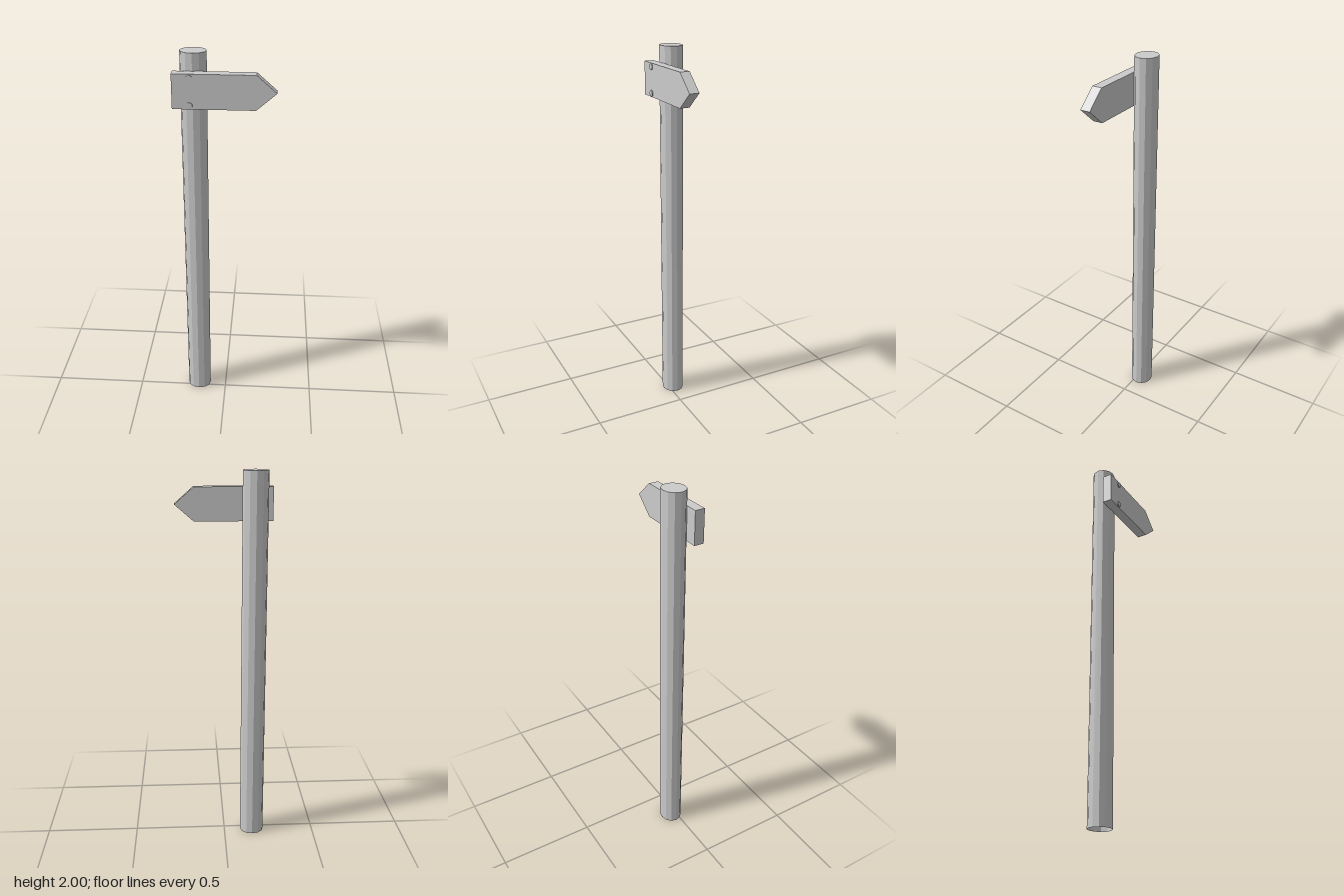
import * as THREE from 'three';

export function createModel() {
  const group = new THREE.Group();
  group.name = 'signpost';
  const mat = new THREE.MeshStandardMaterial({ color: 0xcccccc, flatShading: true });
  const openMat = new THREE.MeshStandardMaterial({ color: 0xcccccc, flatShading: true, side: THREE.DoubleSide });

  const add = (name, geometry, material, x, y, z) => {
    const mesh = new THREE.Mesh(geometry, material);
    mesh.name = name;
    mesh.position.set(x, y, z);
    group.add(mesh);
    return mesh;
  };

  // Twelve-sided, slightly flattened post: capped on top, open at the foot
  const post = [-0.155, -0.027], rx = 0.065, rz = 0.0585;
  add('post', new THREE.CylinderGeometry(1, 1, 2, 12, 1, true).scale(rx, 1, rz), openMat, post[0], 1, post[1]);
  add('postTop', new THREE.CircleGeometry(1, 12).rotateX(-Math.PI / 2).scale(rx, 1, rz), mat, post[0], 2, post[1]);

  // Arrow-shaped board pointing to +x
  const h = 0.085;
  const arrow = new THREE.Shape([[-0.25, -h], [0.15, -h], [0.248, 0], [0.15, h], [-0.25, h]]
    .map(([x, y]) => new THREE.Vector2(x, y)));
  add('arrowBoard', new THREE.ExtrudeGeometry(arrow, { depth: 0.051, bevelEnabled: false }), mat, 0, 1.83, 0.026);

  // Two nail heads near the board's top and bottom edges
  for (const [name, s] of [['upperNail', 1], ['lowerNail', -1]]) {
    add(name, new THREE.CylinderGeometry(0.016, 0.016, 0.012, 10).rotateX(Math.PI / 2), mat,
      -0.167, 1.83 + s * 0.066, 0.076);
  }

  return group;
}
